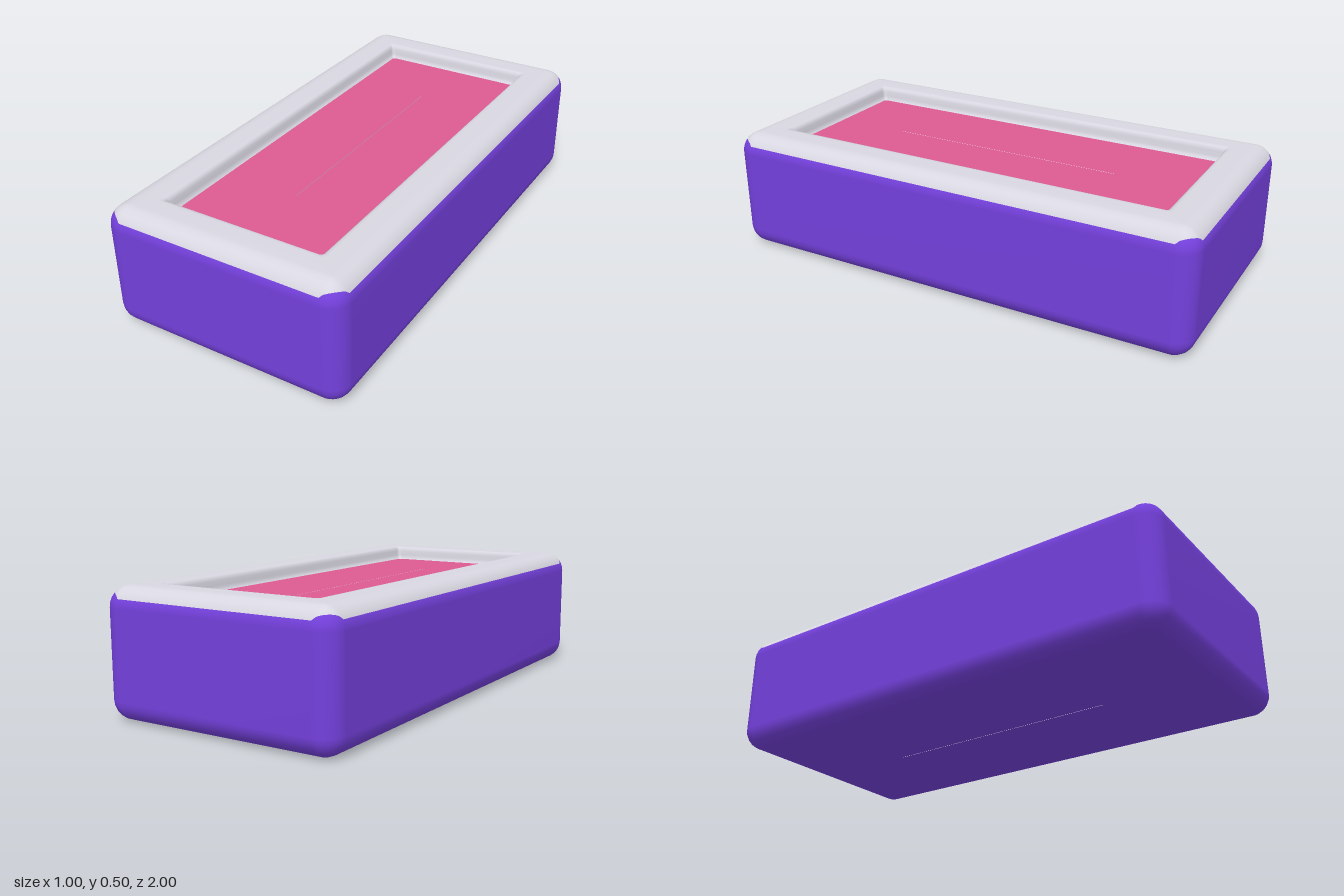
import * as THREE from 'three';

const SEG = 8; // segments per rounded corner

// Closed loop of points around a rounded rectangle; at(t, a, sx, sz) gives
// [half width, half length, corner radius, y] at corner fraction t.
function loop(at) {
  const points = [];
  const signs = [[1, 1], [-1, 1], [-1, -1], [1, -1]];
  signs.forEach(([sx, sz], q) => {
    for (let i = 0; i <= SEG; i++) {
      const a = (q + i / SEG) * Math.PI / 2;
      const [hx, hz, r, y] = at(i / SEG);
      points.push([sx * (hx - r) + Math.cos(a) * r, y, sz * (hz - r) + Math.sin(a) * r]);
    }
  });
  return points;
}

// Skin a list of loops; loops from index split onward use the second material.
function skin(loops, split = loops.length - 1) {
  const n = loops[0].length;
  const index = [];
  for (let j = 0; j < loops.length - 1; j++) {
    for (let i = 0; i < n; i++) {
      const p = j * n + i, next = j * n + (i + 1) % n;
      index.push(p, p + n, next, next, p + n, next + n);
    }
  }
  const geo = new THREE.BufferGeometry();
  geo.setAttribute('position', new THREE.Float32BufferAttribute(loops.flat(2), 3));
  geo.setIndex(index);
  geo.computeVertexNormals();
  geo.addGroup(0, split * n * 6, 0);
  geo.addGroup(split * n * 6, Infinity, 1);
  return geo;
}

export function createModel() {
  const purple = new THREE.MeshStandardMaterial({ color: 0x7440dc });
  const grey = new THREE.MeshStandardMaterial({ color: 0xd8d6e0 });
  const pink = new THREE.MeshStandardMaterial({ color: 0xdc5a90 });
  [purple, grey, pink].forEach((m, i) => { m.name = ['purple', 'grey', 'pink'][i]; });

  const R = 0.08, W = 0.5, H = 0.5, L = 1;
  // Loop on the rounded edge at elevation phi
  const edge = (phi, yc) => {
    const d = R * (1 - Math.cos(phi));
    return [W - d, L - d, R - d + 1e-4, yc + R * Math.sin(phi)];
  };
  const rect = (hx, hz, r, y) => loop(() => [hx, hz, r, y]);

  // Bottom and lower rounded edge
  const loops = [rect(0.001, 0.5, 0.0005, 0), rect(0.41, 0.91, 0.002, 0)];
  for (let k = 0; k <= 6; k++) loops.push(loop(() => edge((k / 6 - 1) * Math.PI / 2, R)));

  // Upper rounded edge; the colour line climbs at the corners
  const line = (t) => 0.45 + 0.27 * Math.sqrt(Math.max(0, Math.sin(t * Math.PI)));
  for (let k = 0; k <= 3; k++) loops.push(loop((t) => edge(line(t) * k / 3, H - R)));
  const split = loops.length - 1;
  for (let k = 1; k <= 5; k++) {
    loops.push(loop((t) => edge(line(t) + (Math.PI / 2 - line(t)) * k / 5, H - R)));
  }

  // Rim top, soft inner lip and recess wall
  [[0.355, 0.5], [0.343, 0.499], [0.335, 0.492], [0.331, 0.48], [0.329, 0.46], [0.326, 0.448], [0.318, 0.44]]
    .forEach(([x, y]) => loops.push(rect(x, x + 0.5, 0.015, y)));
  const body = new THREE.Mesh(skin(loops, split), [purple, grey]);
  body.name = 'bodyAndRim';

  // Recessed panel
  const panel = new THREE.Mesh(skin([
    rect(0.322, 0.822, 0.015, 0.441), rect(0.001, 0.5, 0.0005, 0.441),
  ]), [pink, pink]);
  panel.name = 'recessedPanel';

  const group = new THREE.Group();
  group.name = 'tray';
  group.add(body, panel);
  return group;
}
